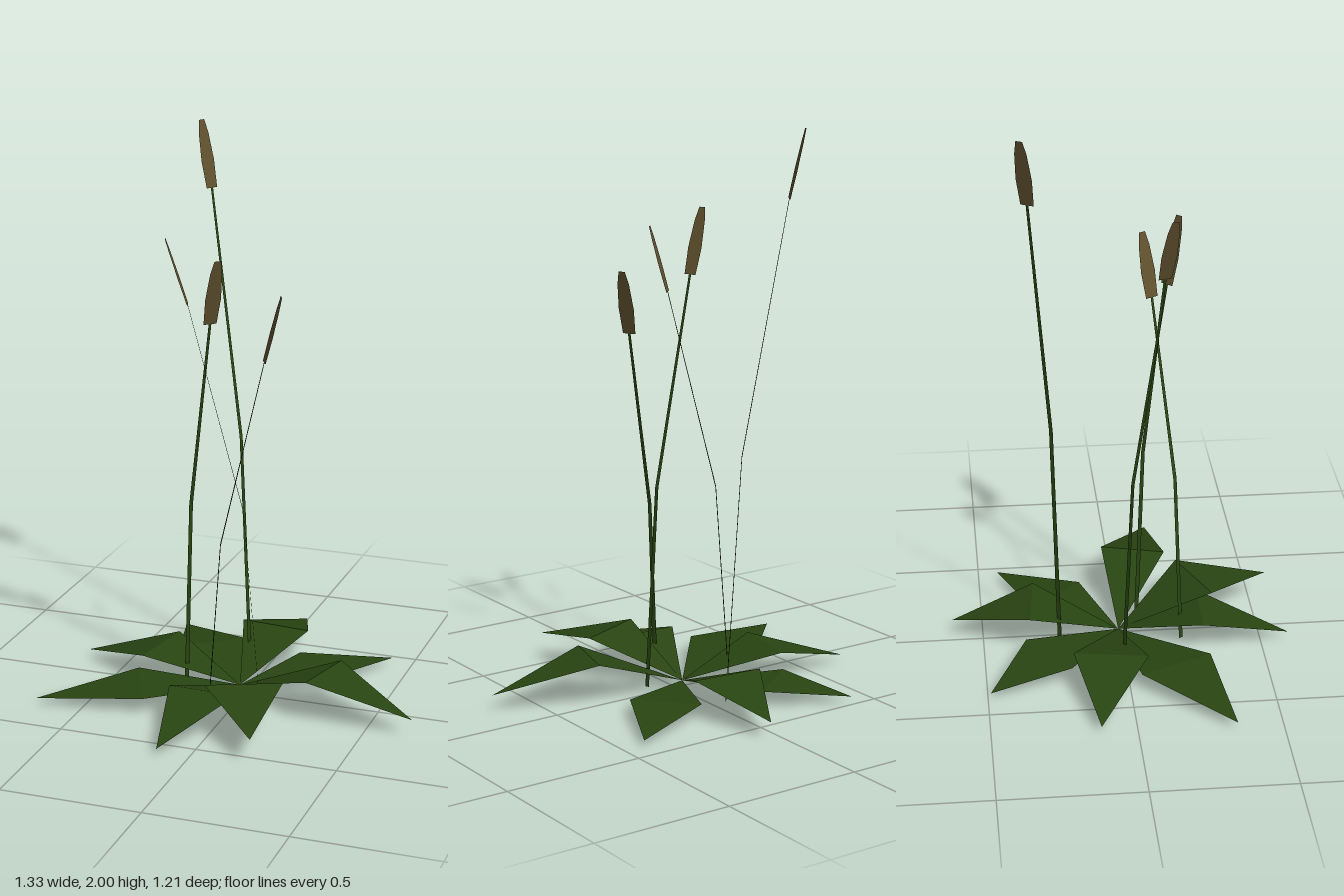
import * as THREE from 'three';

const green = new THREE.MeshStandardMaterial({ color: 0x294512, side: THREE.DoubleSide, flatShading: true });
green.name = 'leaf green';
const brown = new THREE.MeshStandardMaterial({ color: 0x62522f, side: THREE.DoubleSide, flatShading: true });
brown.name = 'seed head brown';

// Leaf: triangle rising from the crown to a fold, then one drooping to the tip
function leaf([tipX, tipZ], [ax, az], [bx, bz], foldY, tipY) {
  const base = [-0.02, 0.025, -0.01];
  const tip = [tipX, tipY, tipZ];
  const a = [ax, foldY, az];
  const b = [bx, foldY, bz];
  const geo = new THREE.BufferGeometry();
  geo.setAttribute('position', new THREE.Float32BufferAttribute([base, b, a, a, b, tip].flat(), 3));
  geo.computeVertexNormals();
  // keep the front faces upward
  if (geo.attributes.normal.getY(0) < 0) {
    geo.setIndex([0, 2, 1, 3, 5, 4]);
    geo.computeVertexNormals();
  }
  const mesh = new THREE.Mesh(geo, green);
  mesh.name = 'leaf';
  return mesh;
}

// Flat ribbon along points, widened sideways by a half width at each point
function ribbon(points, halfWidths, side, material, name) {
  const pos = [];
  const index = [];
  points.forEach((p, i) => {
    const off = side.clone().multiplyScalar(halfWidths[i]);
    pos.push(...p.clone().sub(off).toArray(), ...p.clone().add(off).toArray());
    if (i > 0) {
      const k = 2 * i;
      index.push(k - 2, k - 1, k, k, k - 1, k + 1);
    }
  });
  const geo = new THREE.BufferGeometry();
  geo.setAttribute('position', new THREE.Float32BufferAttribute(pos, 3));
  geo.setIndex(index);
  geo.computeVertexNormals();
  const mesh = new THREE.Mesh(geo, material);
  mesh.name = name;
  return mesh;
}

// Reed: bent stem ribbon with a flat seed head, both facing the way it leans
function reed(coords) {
  const [foot, bend, neck, top] = coords.map((c) => new THREE.Vector3(...c));
  const lean = top.clone().sub(foot);
  const side = new THREE.Vector3(-lean.z, 0, lean.x).normalize();
  const group = new THREE.Group();
  group.name = 'reed';
  group.add(ribbon([foot, bend, neck], [0.008, 0.007, 0.005], side, green, 'stem'));
  const steps = [0, 0.4, 0.8, 1];
  const headPoints = steps.map((t) => neck.clone().lerp(top, t));
  group.add(ribbon(headPoints, [0.024, 0.029, 0.022, 0.012], side, brown, 'seedHead'));
  return group;
}

export function createModel() {
  const model = new THREE.Group();
  model.name = 'reedPlant';

  // Leaves: tip, two shoulders (x, z), fold height, tip height
  const leaves = [
    [[0.04, -0.61], [-0.12, -0.335], [0.14, -0.31], 0.14, 0.06],
    [[0.43, -0.43], [0.11, -0.31], [0.285, -0.13], 0.05, 0.025],
    [[0.665, 0.155], [0.35, -0.04], [0.29, 0.19], 0.16, 0.06],
    [[0.215, 0.56], [0.22, 0.225], [-0.03, 0.33], 0.163, 0.095],
    [[-0.105, 0.6], [0.07, 0.285], [-0.18, 0.28], 0.12, 0.03],
    [[-0.665, 0.34], [-0.275, 0.295], [-0.39, 0.04], 0.06, 0.025],
    [[-0.655, -0.125], [-0.365, 0.065], [-0.322, -0.195], 0.12, 0.03],
    [[-0.405, -0.49], [-0.325, -0.2], [-0.12, -0.35], 0.06, 0.025],
  ];
  for (const args of leaves) model.add(leaf(...args));

  // Reeds: foot, bend, neck, top
  const reeds = [
    [[-0.055, 0, -0.225], [-0.1, 0.88, -0.25], [-0.235, 1.765, -0.325], [-0.282, 2, -0.35]],
    [[0.08, 0, 0.065], [0.025, 0.72, 0.082], [-0.155, 1.455, 0.135], [-0.225, 1.685, 0.16]],
    [[-0.225, 0, -0.01], [-0.19, 0.705, 0.025], [-0.07, 1.4, 0.15], [-0.025, 1.63, 0.195]],
    [[-0.06, 0, 0.215], [-0.02, 0.63, 0.192], [0.113, 1.275, 0.12], [0.163, 1.5, 0.09]],
  ];
  for (const coords of reeds) model.add(reed(coords));

  return model;
}
